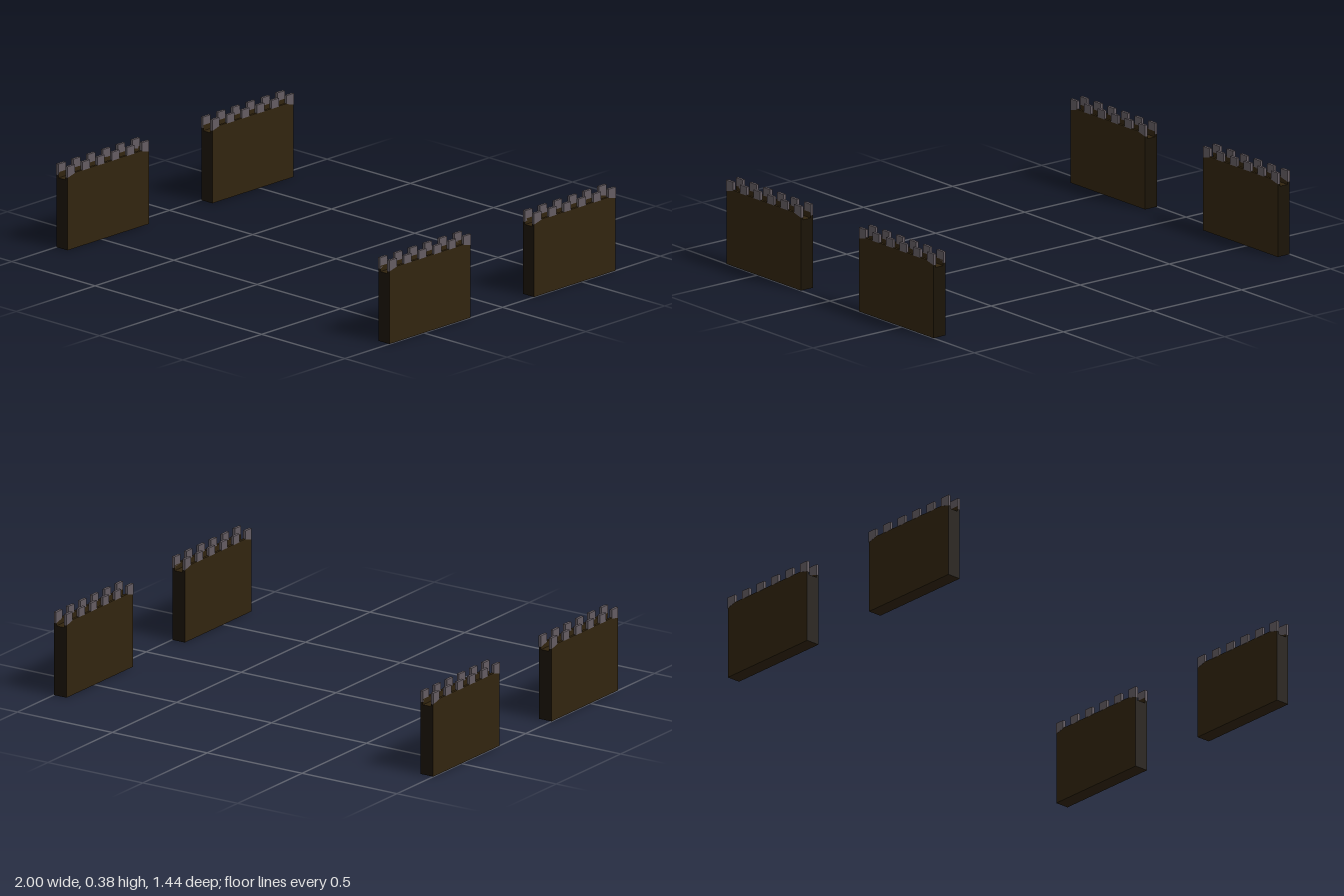
import * as THREE from 'three';

const WIDTH = 0.068, Z0 = 0.2, Z1 = 0.718;
const PARAPET = 0.013, WALK_Y = 0.32, PARAPET_Y = 0.346, TOP_Y = 0.383;
const MERLONS = 6, MERLON_LEN = 0.047, SKIN = 0.001;

const mat = (name, color) => new THREE.MeshStandardMaterial({ name, color });

function polygon(points) {
  return new THREE.Shape(points.map(([x, y]) => new THREE.Vector2(x, y)));
}

// U-shaped wall section: solid base with a sunken walkway between two parapets
function wallGeometry() {
  const h = WIDTH / 2 - SKIN, i = WIDTH / 2 - PARAPET;
  const shape = polygon([
    [-h, 0], [h, 0], [h, PARAPET_Y], [i, PARAPET_Y],
    [i, WALK_Y], [-i, WALK_Y], [-i, PARAPET_Y], [-h, PARAPET_Y],
  ]);
  const length = Z1 - Z0 - 2 * SKIN;
  return new THREE.ExtrudeGeometry(shape, { depth: length, bevelEnabled: false })
    .translate(0, 0, -length / 2);
}

// Merlon profile runs along the wall; end is -1 or 1 for the slanted corner stones
function merlonGeometry(end) {
  const m = MERLON_LEN / 2;
  const low = (side) => (end === side ? 0.332 : PARAPET_Y - 0.002);
  const shape = polygon([[-m, low(-1)], [m, low(1)], [m, TOP_Y], [-m, TOP_Y]]);
  return new THREE.ExtrudeGeometry(shape, { depth: PARAPET, bevelEnabled: false })
    .translate(0, 0, -PARAPET / 2)
    .rotateY(-Math.PI / 2); // profile x becomes z
}

export function createModel() {
  const model = new THREE.Group();
  model.name = 'castleWalls';

  const wallBrown = mat('wallBrown', 0x31240f);
  const endBrown = mat('endBrown', 0x1b1407);
  const stoneGrey = mat('stoneGrey', 0x645c62);

  const wallGeo = wallGeometry();
  const merlonGeos = [-1, 0, 1].map(merlonGeometry);

  function buildSection(name) {
    const section = new THREE.Group();
    section.name = name;

    const wall = new THREE.Mesh(wallGeo, [endBrown, wallBrown]);
    wall.name = 'wall';
    section.add(wall);

    // Row of merlons along both parapets
    const span = Z1 - Z0 - MERLON_LEN;
    for (const side of [-1, 1]) {
      for (let k = 0; k < MERLONS; k++) {
        const end = k === 0 ? -1 : k === MERLONS - 1 ? 1 : 0;
        const merlon = new THREE.Mesh(merlonGeos[end + 1], stoneGrey);
        merlon.name = end ? 'cornerMerlon' : 'merlon';
        merlon.position.set(side * (WIDTH - PARAPET) / 2, 0, span * (k / (MERLONS - 1) - 0.5));
        section.add(merlon);
      }
    }
    return section;
  }

  // Four sections, two on each side
  for (const sx of [-1, 1]) {
    for (const sz of [-1, 1]) {
      const name = (sz > 0 ? 'front' : 'back') + (sx > 0 ? 'Left' : 'Right') + 'Wall';
      const section = buildSection(name);
      section.position.set(sx * (1 - WIDTH / 2), 0, sz * (Z0 + Z1) / 2);
      model.add(section);
    }
  }
  return model;
}
